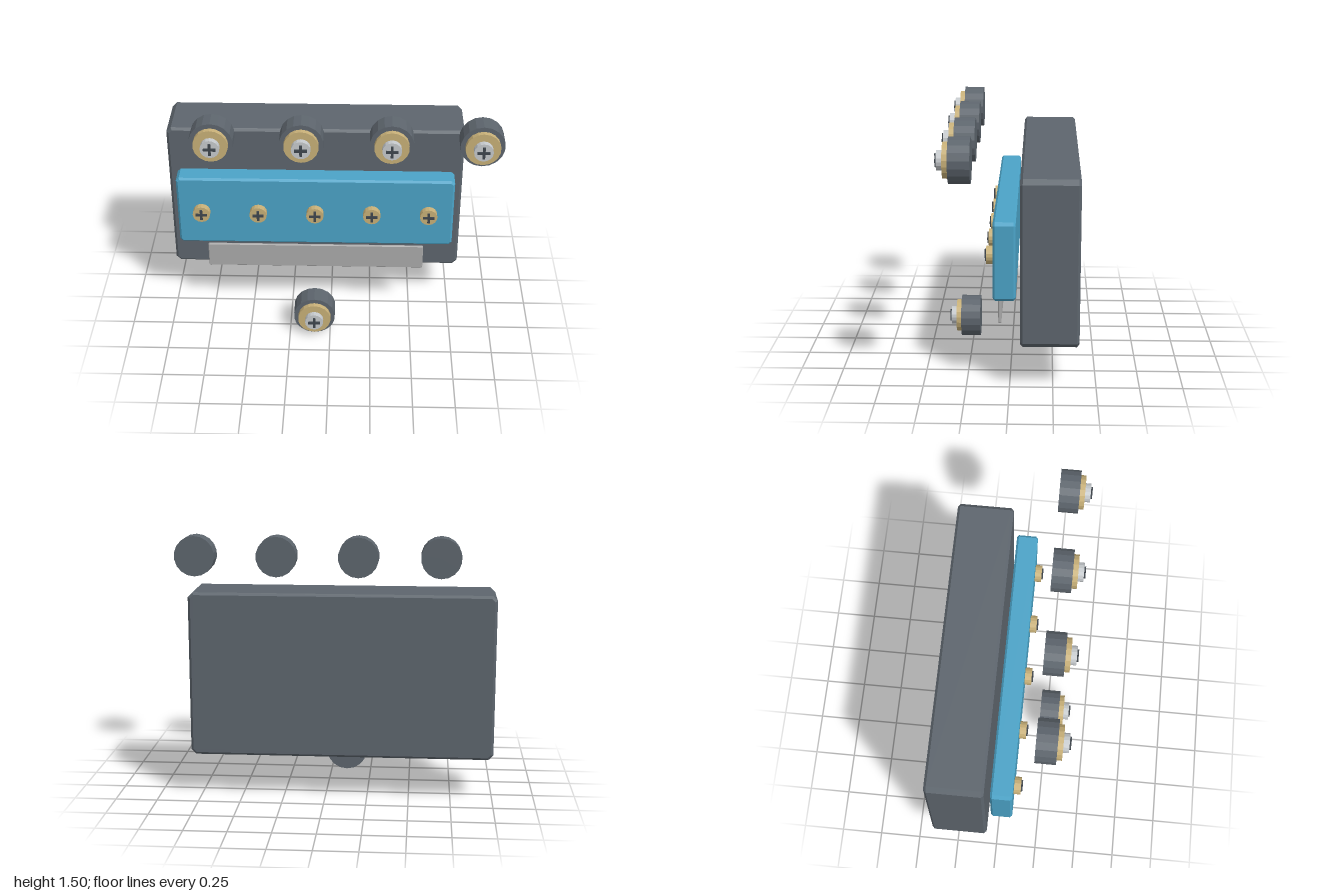
import * as THREE from 'three';

const mat = (color) => new THREE.MeshStandardMaterial({ color, flatShading: true });

export function createModel() {
  const model = new THREE.Group();
  const dark = mat(0x5d656d), ink = mat(0x3f464d), blue = mat(0x4ba3c7);
  const brass = mat(0xc8b078), silver = mat(0xc6cacd), grey = mat(0xaaaaaa);

  // Block with cut corners and a narrow bevel front and back
  function block(name, x0, x1, y0, y1, z0, z1, cut, bevel, material) {
    const l = x0 + bevel, r = x1 - bevel, b = y0 + bevel, t = y1 - bevel;
    const shape = new THREE.Shape([
      [l + cut, b], [r - cut, b], [r, b + cut], [r, t - cut],
      [r - cut, t], [l + cut, t], [l, t - cut], [l, b + cut],
    ].map(([x, y]) => new THREE.Vector2(x, y)));
    const geo = new THREE.ExtrudeGeometry(shape, {
      depth: z1 - z0 - 2 * bevel, bevelEnabled: true,
      bevelThickness: bevel, bevelSize: bevel, bevelSegments: 1,
    });
    geo.translate(0, 0, z0 + bevel);
    const mesh = new THREE.Mesh(geo, material);
    mesh.name = name;
    model.add(mesh);
  }

  // Disc facing forward, from z0 to z1
  function disc(group, name, r, z0, z1, sides, material) {
    const geo = new THREE.CylinderGeometry(r, r, z1 - z0, sides);
    geo.rotateX(Math.PI / 2).translate(0, 0, (z0 + z1) / 2);
    const mesh = new THREE.Mesh(geo, material);
    mesh.name = name;
    group.add(mesh);
  }

  // Raised cross mark on a screw head
  function cross(group, half, width, z0, z1) {
    for (const [w, h] of [[half * 2, width], [width, half * 2]]) {
      const bar = new THREE.Mesh(new THREE.BoxGeometry(w, h, z1 - z0), ink);
      bar.position.z = (z0 + z1) / 2;
      bar.name = 'screwCross';
      group.add(bar);
    }
  }

  function groupAt(name, x, y) {
    const g = new THREE.Group();
    g.name = name;
    g.position.set(x, y, 0);
    model.add(g);
    return g;
  }

  block('body', -1, 0.805, 0.26, 1.245, -0.4, -0.06, 0.02, 0.015, dark);
  block('frontPanel', -0.94, 0.75, 0.52, 0.985, -0.035, 0.095, 0.012, 0.012, blue);
  block('namePlate', -0.77, 0.577, 0.325, 0.488, 0.052, 0.07, 0.004, 0.004, grey);

  // Row of screws on the panel
  for (let i = 0; i < 5; i++) {
    const screw = groupAt('panelScrew', -0.791 + i * 0.347, 0.752);
    disc(screw, 'screwHead', 0.053, 0.095, 0.136, 16, brass);
    cross(screw, 0.034, 0.015, 0.125, 0.145);
  }

  // Four rollers above, one below
  const rollers = [0, 1, 2, 3].map((i) => [-0.682 + i * 0.518, 1.372]);
  rollers.push([-0.097, 0.128]);
  for (const [x, y] of rollers) {
    const roller = groupAt('roller', x, y);
    disc(roller, 'rollerTyre', 0.128, 0.205, 0.325, 18, dark);
    disc(roller, 'rollerHub', 0.101, 0.315, 0.356, 18, brass);
    disc(roller, 'rollerScrew', 0.056, 0.35, 0.39, 16, silver);
    cross(roller, 0.036, 0.015, 0.38, 0.4);
  }

  return model;
}
